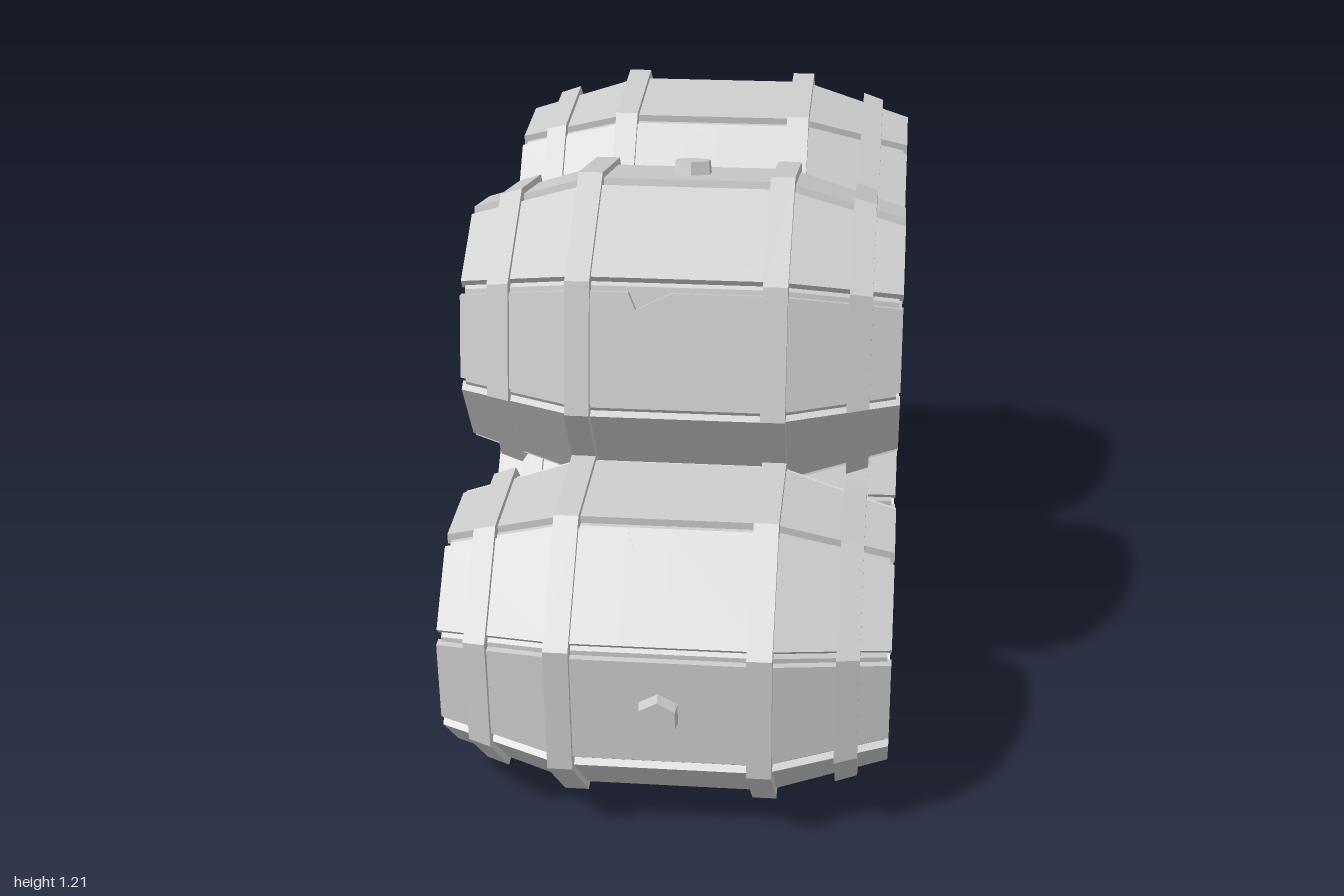
import * as THREE from 'three';

const mat = new THREE.MeshStandardMaterial({ color: 0xcccccc, flatShading: true });
const T = Math.tan(Math.PI / 8), C = Math.cos(Math.PI / 8);
const HALF = 0.443, BEND = 0.2;

// distance from the barrel axis to the flat of a stave
const flat = (x) => 0.313 - 0.071 * Math.max(0, (Math.abs(x) - BEND) / (HALF - BEND));

function mesh(geo, name) {
  const m = new THREE.Mesh(geo, mat);
  m.name = name;
  return m;
}

// eight-sided turned part along x, from [x, apothem] points
function octagonal(profile) {
  const pts = profile.map(([x, a]) => new THREE.Vector2(a / C, x));
  return new THREE.LatheGeometry(pts, 8, Math.PI / 8).rotateZ(-Math.PI / 2);
}

// one bent board, with an optional splintered nick in one edge
function staveGeometry(nick) {
  const stations = [[-HALF, 0], [-BEND, 0], [BEND, 0], [HALF, 0]];
  if (nick !== undefined) stations.splice(2, 0, [nick - 0.045, 0], [nick - 0.03, 0.035], [nick + 0.04, 0]);
  const pos = [], idx = [];
  for (const [x, cut] of stations) {
    const a = flat(x), w = a * T - 0.016, t = 0.022;
    pos.push(x, w - cut, a, x, -w, a, x, -w, a - t, x, w - cut, a - t);
  }
  const n = stations.length;
  for (let i = 0; i < n - 1; i++)
    for (let j = 0; j < 4; j++) {
      const a = i * 4 + j, b = i * 4 + (j + 1) % 4;
      idx.push(a, b, b + 4, a, b + 4, a + 4);
    }
  const e = (n - 1) * 4;
  idx.push(0, 2, 1, 0, 3, 2, e, e + 1, e + 2, e, e + 2, e + 3);
  const g = new THREE.BufferGeometry();
  g.setAttribute('position', new THREE.Float32BufferAttribute(pos, 3));
  g.setIndex(idx);
  g.computeVertexNormals();
  return g;
}

// strip of an octagonal lid between lo and hi
function headPlank(lo, hi, A) {
  const width = (u) => Math.min(A, A * Math.SQRT2 - Math.abs(u));
  const us = [lo, -A * T, A * T, hi].filter((u) => u >= lo && u <= hi).sort((a, b) => a - b);
  const pts = us.map((u) => new THREE.Vector2(u, -width(u)));
  pts.push(...us.map((u) => new THREE.Vector2(u, width(u))).reverse());
  return new THREE.ExtrudeGeometry(new THREE.Shape(pts), { depth: 0.02, bevelEnabled: false }).rotateY(Math.PI / 2);
}

function createBarrel(nicks) {
  const barrel = new THREE.Group();

  // staves
  for (let k = 0; k < 8; k++) {
    const stave = mesh(staveGeometry(nicks[k]), 'stave');
    stave.rotation.x = -k * Math.PI / 4;
    barrel.add(stave);
  }

  // inner shell seen in the gaps, with recessed ends
  const R = 0.435, D = 0.395, out = (x) => flat(x) - 0.015, inn = flat(HALF) - 0.027;
  barrel.add(mesh(octagonal([
    [-D, 0], [-D, inn], [-R, inn], [-R, out(R)], [-BEND, out(0)],
    [BEND, out(0)], [R, out(R)], [R, inn], [D, inn], [D, 0],
  ]), 'innerShell'));

  for (const s of [-1, 1]) {
    // hoops
    for (const [x0, a0, x1, a1] of [[0.17, 0.326, 0.219, 0.326], [0.338, 0.287, 0.383, 0.273]]) {
      const ring = [[x0, a0 - 0.04], [x0, a0], [x1, a1], [x1, a1 - 0.04], [x0, a0 - 0.04]];
      const profile = s > 0 ? ring : ring.map(([x, a]) => [-x, a]).reverse();
      barrel.add(mesh(octagonal(profile), 'hoop'));
    }
    // lid boards
    const A = inn - 0.004;
    for (const [lo, hi] of [[-A, -0.095], [-0.077, 0.077], [0.095, A]]) {
      const plank = mesh(headPlank(lo, hi, A), 'headPlank');
      plank.position.x = s > 0 ? 0.39 : -0.41;
      barrel.add(plank);
    }
  }

  // bung
  const bung = mesh(new THREE.CylinderGeometry(0.04, 0.045, 0.04, 6).rotateX(Math.PI / 2), 'bung');
  bung.position.z = 0.32;
  barrel.add(bung);
  return barrel;
}

export function createModel() {
  const model = new THREE.Group();
  model.name = 'barrelStack';
  // z, y, roll in degrees from +z towards +y
  const layout = [
    ['frontBarrel', 0.66, 0.337, -4],
    ['middleBarrel', 0, 0.339, 134],
    ['backBarrel', -0.665, 0.338, 41],
    ['upperFrontBarrel', 0.318, 0.872, 100],
    ['upperBackBarrel', -0.362, 0.873, -7],
  ];
  for (const [name, z, y, roll] of layout) {
    const barrel = createBarrel({ 1: -0.03, 3: 0.06, 6: -0.05 });
    barrel.name = name;
    barrel.position.set(0, y, z);
    barrel.rotation.x = -THREE.MathUtils.degToRad(roll);
    model.add(barrel);
  }
  return model;
}
